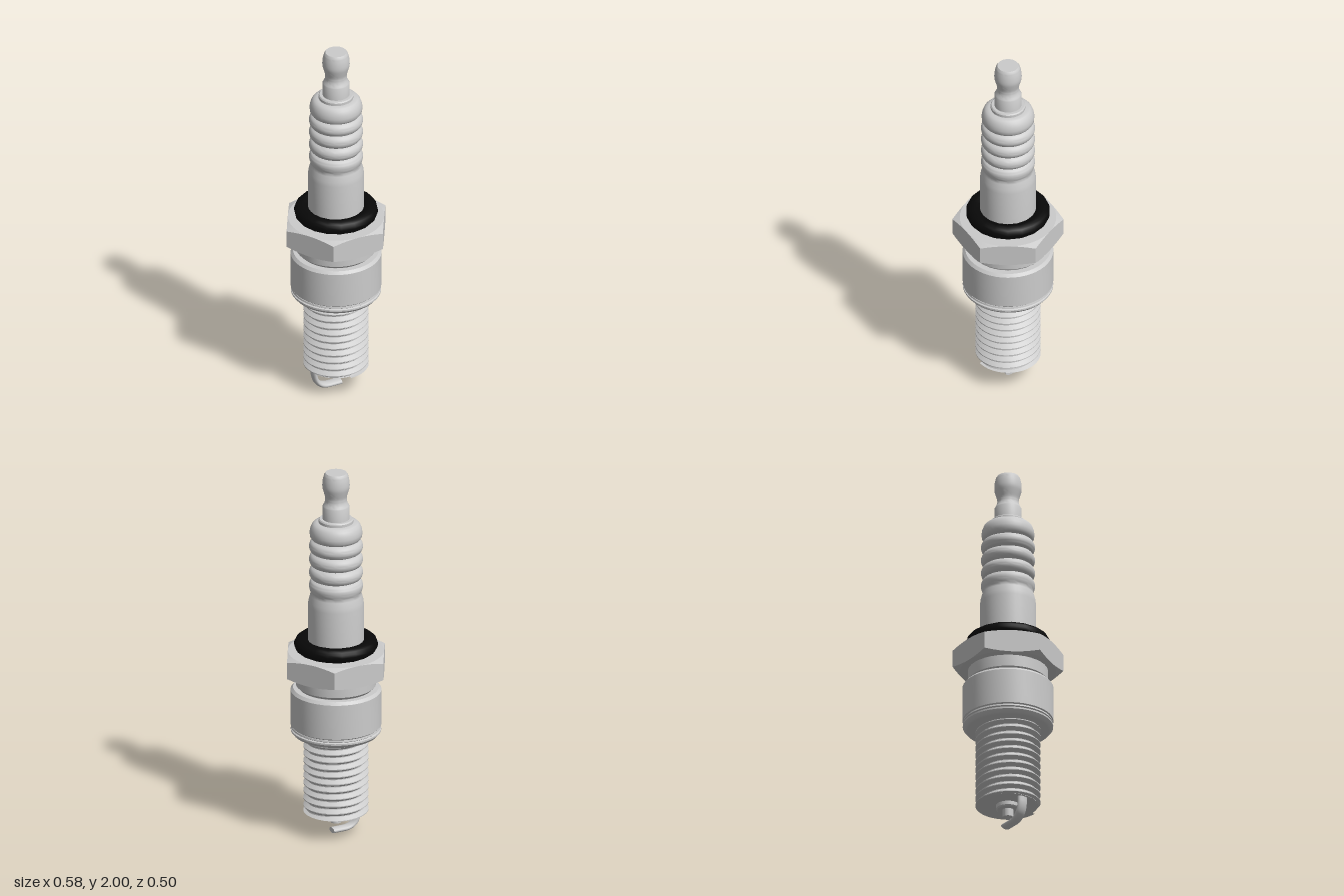
import * as THREE from 'three';
import { toCreasedNormals } from 'three/addons/utils/BufferGeometryUtils.js';

const grey = new THREE.MeshStandardMaterial({ color: 0xcccccc });
const black = new THREE.MeshStandardMaterial({ color: 0x080808 });
const points = (profile) => profile.map(([r, y]) => new THREE.Vector2(r, y));

// Turned part; profile runs from bottom to top as [radius, y]
function turned(name, profile, segments = 36, material = grey, crease = 0.6) {
  const geometry = toCreasedNormals(new THREE.LatheGeometry(points(profile), segments), crease);
  const mesh = new THREE.Mesh(geometry, material);
  mesh.name = name;
  return mesh;
}

// Ceramic body with five rounded ribs
function insulatorProfile() {
  const profile = [[0, 0.95], [0.145, 0.95], [0.145, 1.27], [0.142, 1.295], [0.134, 1.325], [0.13, 1.34]];
  const grooves = [1.34, 1.412, 1.485, 1.558, 1.63];
  for (let i = 0; i < grooves.length - 1; i++) {
    const base = i === 0 ? 0.127 : 0.112;
    for (let k = i === 0 ? 1 : 0; k <= 10; k++) {
      const t = k / 10;
      const low = i === 0 ? base + (0.112 - base) * t : base;
      const bulge = Math.sqrt(Math.max(0, Math.sin(Math.PI * t)));
      profile.push([low + (0.14 - low) * bulge, grooves[i] + (grooves[i + 1] - grooves[i]) * t]);
    }
  }
  profile.push([0.126, 1.637], [0.135, 1.65], [0.137, 1.67], [0.134, 1.69],
    [0.126, 1.71], [0.115, 1.722], [0.1, 1.727], [0, 1.727]);
  return profile;
}

// Terminal post with a waisted cap
function terminalProfile() {
  const waist = new THREE.SplineCurve(points([
    [0.07, 1.815], [0.058, 1.84], [0.056, 1.865], [0.064, 1.895],
    [0.071, 1.925], [0.069, 1.96], [0.062, 1.99]])).getPoints(20);
  return [[0.07, 1.72], ...waist.map((p) => [p.x, p.y]), [0.055, 2], [0, 2]];
}

// Hexagon with flats towards front and back, corners chamfered by a cone
function hexNut() {
  const flat = 0.249, low = 0.89, high = 1.012;
  const geometry = new THREE.LatheGeometry(points([
    [0, low], [flat, low], [1, low], [1, high], [flat, high], [0, high]]), 48);
  const p = geometry.attributes.position;
  for (let i = 0; i < p.count; i++) {
    const x = p.getX(i), z = p.getZ(i);
    if (Math.hypot(x, z) < 0.9) continue;
    const step = Math.PI / 3;
    const angle = Math.atan2(x, z);
    const r = flat / Math.cos(angle - step * Math.round(angle / step));
    const drop = (r - flat) * 0.4;
    const y = p.getY(i);
    p.setXYZ(i, x * r, y > 0.95 ? y - drop : y + drop, z * r);
  }
  const mesh = new THREE.Mesh(toCreasedNormals(geometry, 0.25), grey);
  mesh.name = 'hexNut';
  return mesh;
}

// Helical thread: V-shaped rings sheared by one pitch per turn, trimmed at both ends
function thread() {
  const low = 0.125, high = 0.555, pitch = 0.041;
  const turns = Math.ceil((high - low) / pitch) + 1;
  const profile = [];
  for (let i = -1; i <= turns; i++) {
    const y = low + i * pitch;
    profile.push([0.148, y], [0.148, y + pitch * 0.12], [0.169, y + pitch * 0.5],
      [0.169, y + pitch * 0.62]);
  }
  const geometry = new THREE.LatheGeometry(points(profile), 48);
  const p = geometry.attributes.position;
  for (let i = 0; i < p.count; i++) {
    const turn = Math.floor(i / profile.length) / 48;
    p.setY(i, THREE.MathUtils.clamp(p.getY(i) + pitch * turn, low, high));
  }
  const mesh = new THREE.Mesh(toCreasedNormals(geometry, 0.5), grey);
  mesh.name = 'thread';
  return mesh;
}

// Bent side electrode: a flattened bar curving under the tip
function groundElectrode() {
  const group = new THREE.Group();
  group.name = 'groundElectrode';
  const radius = 0.0145;
  const path = new THREE.CurvePath();
  const v = (x, y) => new THREE.Vector3(x, y, 0);
  path.add(new THREE.LineCurve3(v(-0.128, 0.14), v(-0.128, 0.1)));
  path.add(new THREE.CubicBezierCurve3(v(-0.128, 0.1), v(-0.125, 0.045), v(-0.095, 0.0145), v(-0.045, 0.0145)));
  path.add(new THREE.LineCurve3(v(-0.045, 0.0145), v(0.024, 0.0145)));
  const bar = new THREE.Mesh(new THREE.TubeGeometry(path, 40, radius, 14), grey);
  bar.name = 'electrodeBar';
  const end = new THREE.Mesh(new THREE.CircleGeometry(radius, 14), grey);
  end.name = 'electrodeEnd';
  end.rotation.y = Math.PI / 2;
  end.position.set(0.024, 0.0145, 0);
  group.add(bar, end);
  group.scale.z = 1.9;
  return group;
}

export function createModel() {
  const model = new THREE.Group();
  model.name = 'sparkPlug';

  // Upper end
  model.add(turned('terminal', terminalProfile()));
  model.add(turned('terminalCollar', [[0.09, 1.71], [0.09, 1.741], [0.085, 1.747], [0, 1.747]]));
  model.add(turned('insulator', insulatorProfile(), 36, grey, 0.8));

  // Black seal ring
  const ring = [];
  for (let k = 0; k <= 16; k++) {
    const a = -Math.PI / 2 + (k / 16) * Math.PI * 2;
    ring.push([0.176 + 0.042 * Math.cos(a), 1.05 + 0.038 * Math.sin(a)]);
  }
  model.add(turned('sealRing', ring, 18, black, 0.9));

  // Metal shell
  model.add(hexNut());
  model.add(turned('shellNeck', [[0.19, 0.79], [0.192, 0.812], [0.208, 0.828], [0.208, 0.9]]));
  model.add(turned('shellBody', [[0, 0.595], [0.222, 0.595], [0.235, 0.607],
    [0.235, 0.796], [0.222, 0.811], [0, 0.811]], 48));
  model.add(turned('gasket', [[0, 0.552], [0.212, 0.552], [0.222, 0.558], [0.234, 0.573],
    [0.234, 0.582], [0.226, 0.586], [0.233, 0.591], [0.231, 0.6], [0, 0.6]], 48));

  // Threaded end
  model.add(thread());
  model.add(turned('threadCore', [[0, 0.126], [0.155, 0.126], [0.148, 0.14], [0.148, 0.555]], 48));
  model.add(turned('insulatorNose', [[0, 0.1], [0.056, 0.1], [0.062, 0.106], [0.062, 0.13]], 28));
  model.add(turned('centreElectrode', [[0, 0.058], [0.029, 0.058], [0.029, 0.11]], 24));
  model.add(groundElectrode());
  return model;
}
